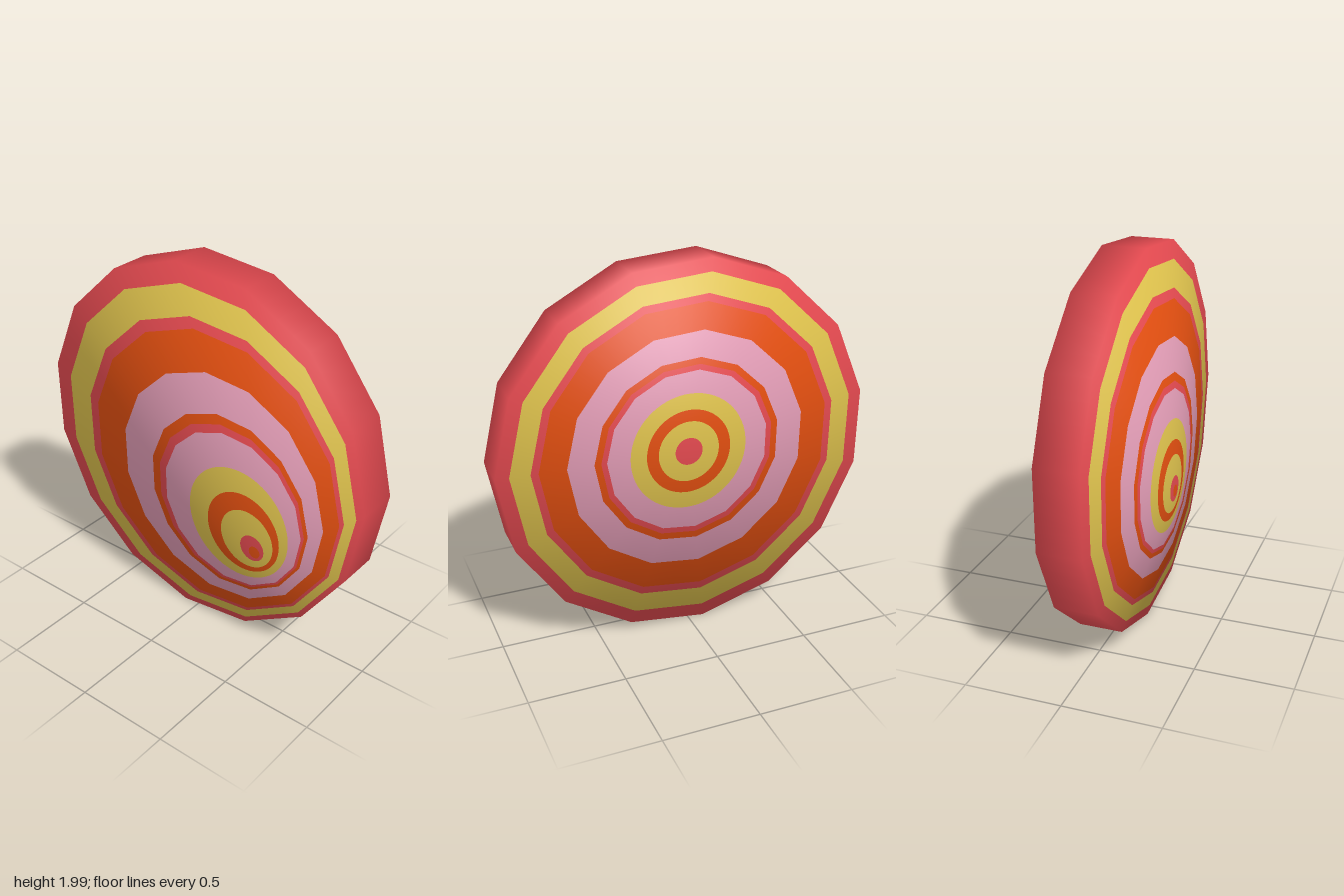
import * as THREE from 'three';

const SIDES = 15, STEPS = 60, PHASE = 0.021, HALF = 0.1125;

// distance from a loop's centre to its edge: fifteen-sided for big loops, round for small ones
function edgeRadius(r, i) {
  if (r < 0.35) return r;
  const side = (2 * Math.PI) / SIDES;
  const a = ((i % (STEPS / SIDES)) / (STEPS / SIDES)) * side;
  return (r * Math.cos(side / 2)) / Math.cos(a - side / 2);
}

// closed loop of points and soft, outward-leaning normals
function loop(r, z, shift) {
  const cx = shift * (1 - r) * 0.392, cy = 1 - shift * (1 - r) * 0.483;
  const pts = [];
  for (let i = 0; i <= STEPS; i++) {
    const t = PHASE + (i / STEPS) * Math.PI * 2, d = edgeRadius(r, i);
    pts.push({
      p: [cx + d * Math.cos(t), cy + d * Math.sin(t), z],
      n: new THREE.Vector3(r * Math.cos(t) * 0.9, r * Math.sin(t) * 0.9, Math.sign(z)).normalize().toArray(),
    });
  }
  return pts;
}

// strip of faces between two loops
function strip(outer, inner, flip) {
  const pos = [], nor = [], idx = [];
  for (const pt of [...outer, ...inner]) {
    pos.push(...pt.p);
    nor.push(...pt.n);
  }
  const k = STEPS + 1;
  for (let i = 0; i < STEPS; i++) {
    const a = i, b = i + 1, c = k + i + 1, d = k + i;
    if (flip) idx.push(a, c, b, a, d, c);
    else idx.push(a, b, c, a, c, d);
  }
  const g = new THREE.BufferGeometry();
  g.setAttribute('position', new THREE.Float32BufferAttribute(pos, 3));
  g.setAttribute('normal', new THREE.Float32BufferAttribute(nor, 3));
  g.setIndex(idx);
  return g;
}

export function createModel() {
  const group = new THREE.Group();
  const material = (name, color) => {
    const m = new THREE.MeshStandardMaterial({ color });
    m.name = name;
    return m;
  };
  const red = material('red', 0xe2494f);
  const yellow = material('yellow', 0xdcc04c);
  const orange = material('orange', 0xe04e10);
  const pink = material('pink', 0xe09bb4);

  const add = (name, geometry, mat) => {
    const mesh = new THREE.Mesh(geometry, mat);
    mesh.name = name;
    group.add(mesh);
  };

  // outer radius and colour of each band, from the rim inwards
  const bands = [
    [1, red], [0.93, yellow], [0.825, red], [0.785, orange], [0.643, pink],
    [0.503, orange], [0.468, red], [0.438, pink], [0.315, yellow],
    [0.228, orange], [0.165, yellow], [0.074, red], [0.034, orange],
  ];

  // front bands drift towards the lower left side, back bands are concentric
  const face = (name, list, z, shift) => list.forEach(([r, mat], i) => {
    const inner = i + 1 < list.length ? list[i + 1][0] : 0;
    add(name + 'Band' + (i + 1), strip(loop(r, z, shift), loop(inner, z, shift), z < 0), mat);
  });
  face('front', bands, HALF, 1);
  face('back', bands.slice(0, -1), -HALF, 0);

  // edge of the disc
  add('rim', strip(loop(1, -HALF, 0), loop(1, HALF, 0), false), red);
  return group;
}
